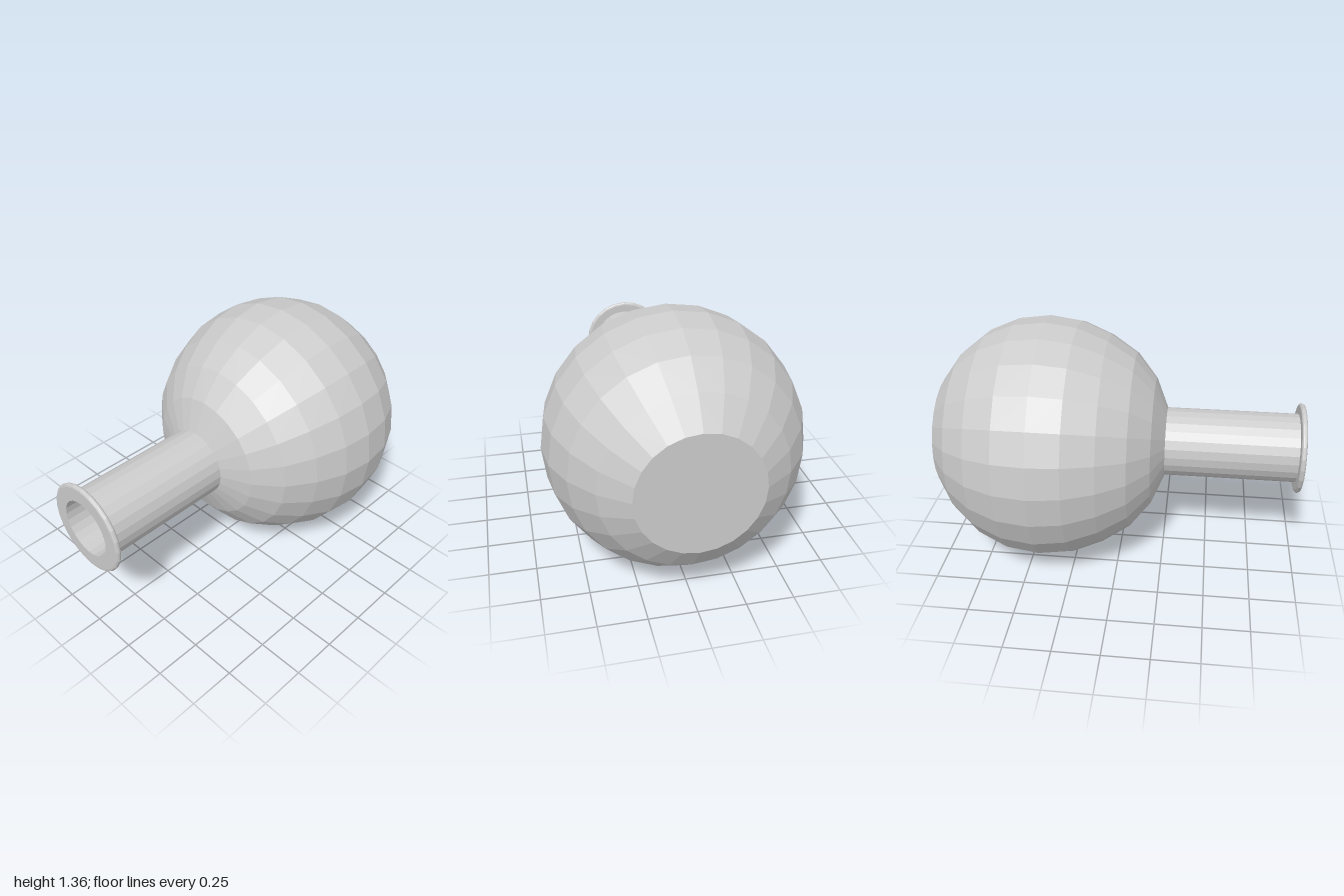
import * as THREE from 'three';

const SIDES = 24;
const CENTRE_Y = 0.678;
const material = new THREE.MeshStandardMaterial({ color: 0xcccccc, flatShading: true });

// Revolve [radius, z] points around the horizontal z axis; rising z faces outward.
function revolve(name, profile) {
  const geometry = new THREE.LatheGeometry(profile.map(([r, z]) => new THREE.Vector2(r, z)), SIDES);
  geometry.rotateX(Math.PI / 2);
  const mesh = new THREE.Mesh(geometry, material);
  mesh.name = name;
  mesh.position.y = CENTRE_Y;
  return mesh;
}

export function createModel() {
  const flask = new THREE.Group();
  flask.name = 'roundFlask';

  const neckRadius = 0.19, boreRadius = 0.158, wall = 0.032;
  const bulbRings = [
    [0.32, -1], [0.47, -0.893], [0.585, -0.752], [0.655, -0.59], [0.678, -0.412],
    [0.655, -0.242], [0.587, -0.078], [0.49, 0.07], [0.352, 0.182], [neckRadius, 0.25],
  ];

  // Faceted globe with a flat base
  flask.add(revolve('bulb', [[0, -1], ...bulbRings]));

  // Straight neck
  flask.add(revolve('neck', [[neckRadius, 0.25], [neckRadius, 0.975]]));

  // Rounded rim around the mouth
  const rim = [[neckRadius, 0.97]];
  for (let i = 0; i <= 6; i++) {
    const a = -Math.PI / 2 + (i / 6) * Math.PI;
    rim.push([0.234 + 0.015 * Math.cos(a), 0.985 + 0.015 * Math.sin(a)]);
  }
  rim.push([boreRadius, 1]);
  flask.add(revolve('rim', rim));

  // Hollow inside: bore of the neck, then the inner globe down to its floor
  const inner = bulbRings.slice(1, -1).reverse().map(([r, z]) => {
    const k = 1 - wall / 0.678;
    return [r * k, -0.412 + (z + 0.412) * k];
  });
  flask.add(revolve('interior', [
    [boreRadius, 1], [boreRadius, 0.23], ...inner, [0.32, -0.968], [0, -0.968],
  ]));

  return flask;
}
